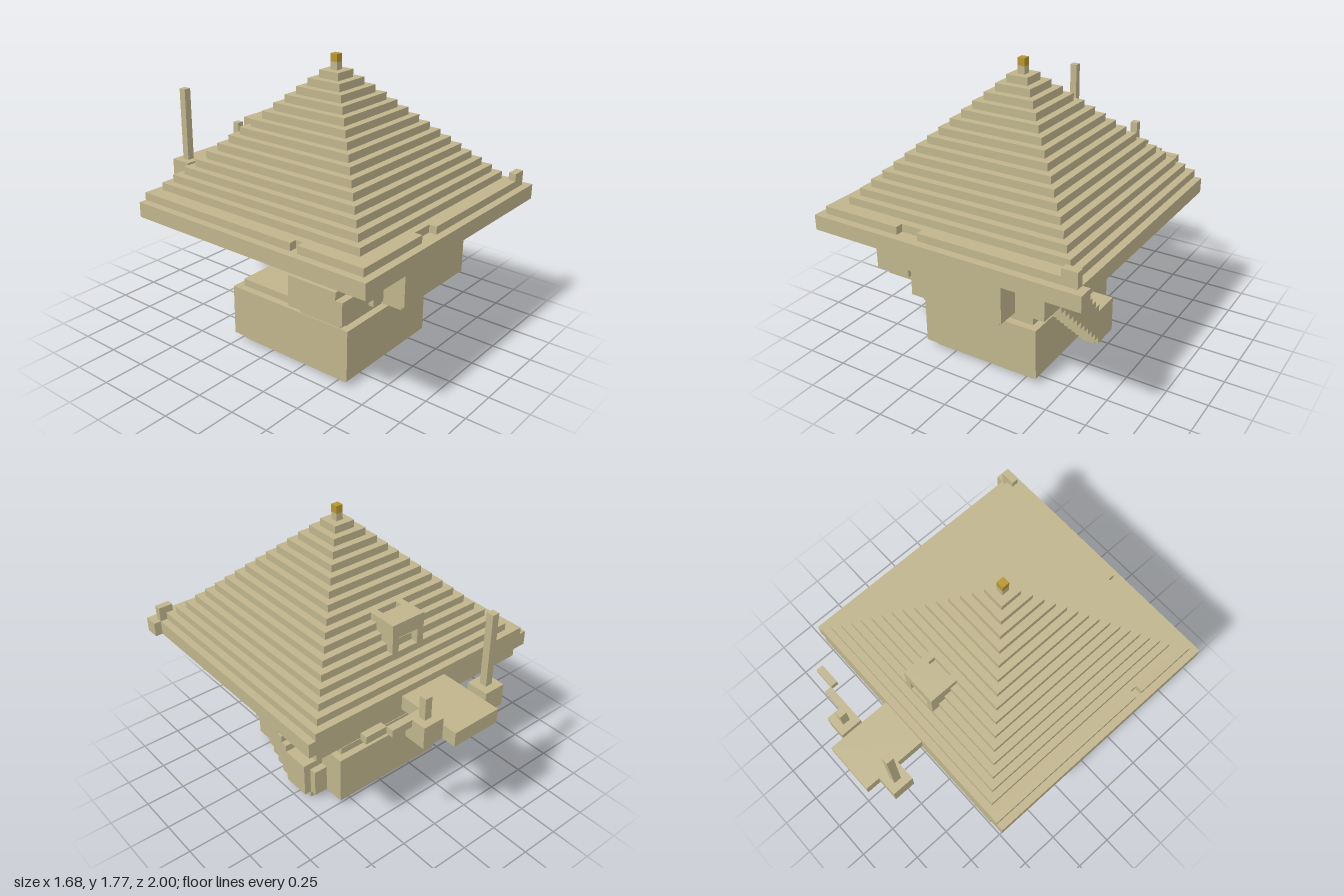
import * as THREE from 'three';

const U = 2 / 44; // size of one block

export function createModel() {
  const model = new THREE.Group();
  model.name = 'pyramidHouse';
  const sand = new THREE.MeshStandardMaterial({ name: 'sandstone', color: 0xbfb48c });
  const gold = new THREE.MeshStandardMaterial({ name: 'gold', color: 0xb8962e });

  // Each part is a group of boxes given as block ranges: x0, x1, y0, y1, z0, z1
  function part(name, boxes, material = sand) {
    const group = new THREE.Group();
    group.name = name;
    for (const [x0, x1, y0, y1, z0, z1] of boxes) {
      const mesh = new THREE.Mesh(
        new THREE.BoxGeometry((x1 - x0) * U, (y1 - y0) * U, (z1 - z0) * U), material);
      mesh.position.set((x0 + x1) * U / 2, (y0 + y1) * U / 2, (z0 + z1) * U / 2);
      mesh.name = name + 'Block';
      group.add(mesh);
    }
    model.add(group);
  }

  // Ground floor with recessed foot and lid
  part('lowerRoom', [
    [-8.5, 6.5, 0, 1, -5, 12],
    [-9.5, 7.5, 1, 8, -6, 13],
    [-8.5, 6.5, 8, 9, -5, 12],
  ]);

  // Upper floor with recessed foot and neck
  part('upperRoom', [
    [-5.5, 5.5, 11, 12, 9, 18],
    [-6.5, 6.5, 12, 17, 8, 19],
    [-5.5, 5.5, 17, 18, 9, 18],
  ]);

  // Bay on the right side, notched at the bottom and stepped at the corner
  part('sideBay', [
    [-13.5, -7.5, 11, 12, 9, 15],
    [-14.5, -9.5, 12, 13, 8, 16],
    [-9.5, -8.5, 12, 13, 8, 15],
    [-8.5, -6.5, 12, 13, 8, 16],
    [-14.5, -6.5, 13, 15, 8, 16],
    [-14.5, -12.5, 15, 16, 8, 15],
    [-12.5, -6.5, 15, 16, 8, 16],
    [-13.5, -7.5, 16, 17, 9, 15],
  ]);

  // Sloping stair passage on the left side
  const passage = [];
  for (let y = 0; y < 12; y++) {
    const back = y < 6 ? -2 : y - 4;
    passage.push([y < 9 ? 7.5 : 6.5, y ? 10.5 : 9.5, y, y + 1, back, y + 1]);
  }
  for (let y = 12; y < 16; y++) {
    passage.push([6.5, 10.5, y, y + 1, y - 4, y < 15 ? 16 : 15]);
  }
  passage.push([7.5, 9.5, 1, 5, -3, -2], [7.5, 9.5, 16, 17, 11, 15]);
  part('stairPassage', passage);

  // Inner stair climbing backwards into the roof
  const inner = [[-2.5, 2.5, 12, 17, 7, 8]];
  for (let y = 12; y < 18; y++) inner.push([-2.5, 2.5, y, y + 1, 18 - y, 7]);
  part('innerStair', inner);

  // Eaves with a broken rim and one raised corner
  part('eaves', [
    [-16.5, 16.5, 18, 19, -13, 20],
    [-18.5, 17.5, 19, 21, -13, 22],
    [17.5, 18.5, 19, 21, 20, 22],
    [-16.5, 16.5, 21, 22, -13, 20],
    [-17.5, -16.5, 21, 22, -13, 11],
    [-17.5, -16.5, 21, 22, 12, 21],
    [-16.5, -6.5, 21, 22, 20, 21],
    [-3.5, 15.5, 21, 22, 20, 21],
    [15.5, 17.5, 21, 23, 20, 21],
  ]);

  // Stepped pyramid roof and finial
  const steps = [];
  for (let i = 0; i < 16; i++) {
    const r = 15.5 - i;
    steps.push([-r, r, 22 + i, 23 + i, 3.5 - r, 3.5 + r]);
  }
  part('steppedRoof', steps);
  part('finial', [[-0.5, 0.5, 38, 39, 3, 4]], gold);

  // Dormer with an open arch and a slot in its top
  part('dormer', [
    [-2.5, -1.5, 25, 29, -10, -6],
    [1.5, 2.5, 25, 29, -10, -6],
    [-1.5, 1.5, 27, 29, -10, -7],
  ]);

  // Back landing, its two piers and their posts
  part('backLanding', [[-3.5, 3.5, 19, 21, -22, -13]]);
  for (const [name, s, top] of [['tallPost', -1, 32], ['shortPost', 1, 25]]) {
    part(name, [
      [5 * s - 1.5, 5 * s + 1.5, 19, 22, -20, -17],
      [5 * s - 0.5, 5 * s + 0.5, 22, top, -19, -18],
    ]);
  }
  part('backArm', [
    [6.5, 9.5, 21, 22, -18, -17],
    [9.5, 12.5, 21, 22, -17, -16],
  ]);

  return model;
}
